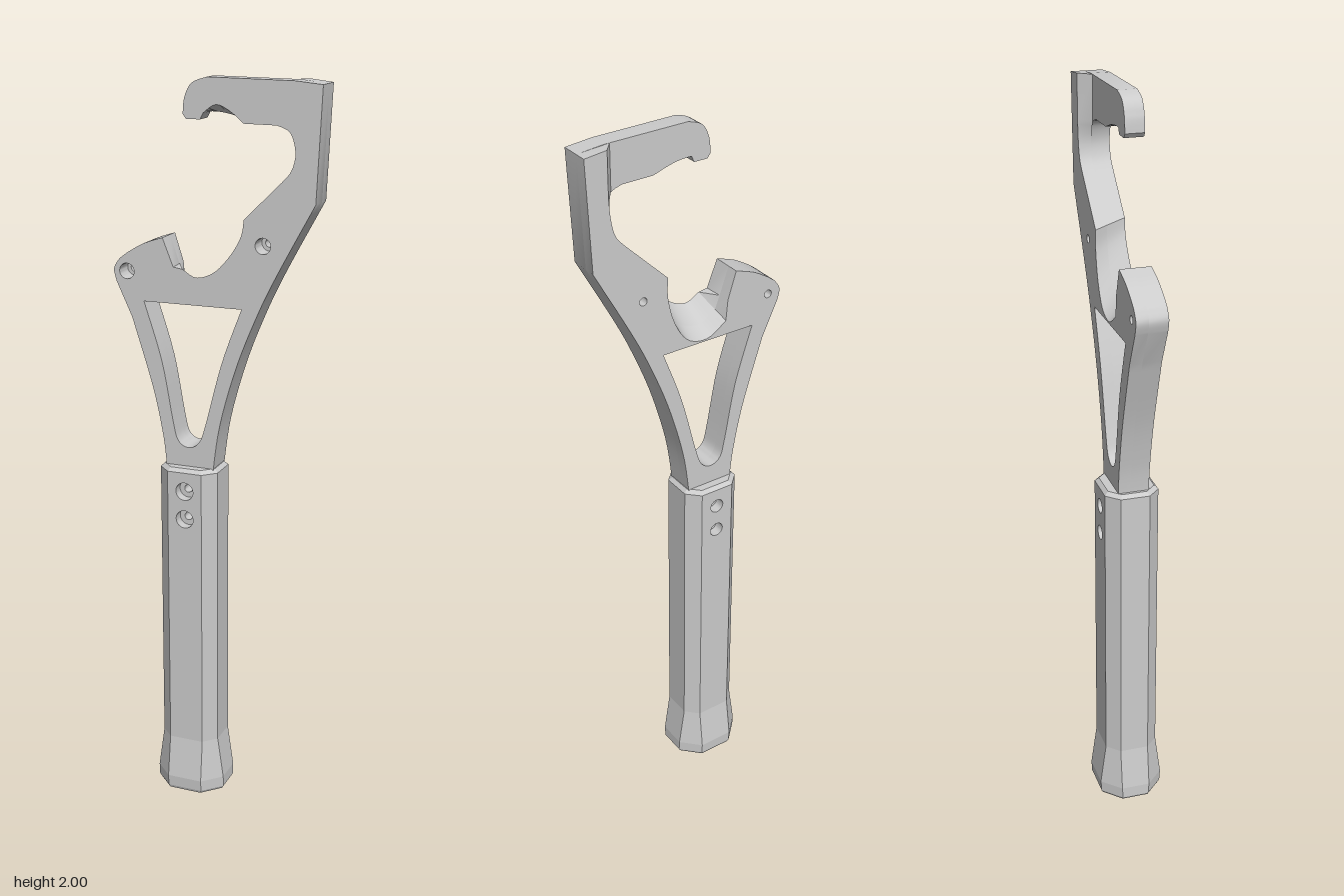
import * as THREE from 'three';
import { toCreasedNormals } from 'three/addons/utils/BufferGeometryUtils.js';

const grey = new THREE.MeshStandardMaterial({ color: 0xcccccc });
const greyDouble = new THREE.MeshStandardMaterial({ color: 0xcccccc, side: THREE.DoubleSide });

const P = (list) => list.map(([x, y]) => new THREE.Vector2(x, y));
const curve = (list, n) => new THREE.SplineCurve(P(list)).getPoints(n);
const mix = (a, b, t) => a.map((p, i) => p.clone().lerp(b[i], t));
const circle = (x, y, r, n = 24) => Array.from({ length: n }, (_, i) => {
  const a = -i / n * Math.PI * 2; // clockwise, as a hole
  return new THREE.Vector2(x + r * Math.cos(a), y + r * Math.sin(a));
});

function toGeometry(positions) {
  const g = new THREE.BufferGeometry();
  g.setAttribute('position', new THREE.Float32BufferAttribute(positions, 3));
  return g;
}

function addMesh(group, name, geometry, material = grey) {
  const mesh = new THREE.Mesh(geometry, material);
  mesh.name = name;
  group.add(mesh);
  return mesh;
}

// Solid between a front and a back outline with matching points, plus straight holes
function slab(front, back, holes, zf, zb) {
  const pos = [];
  const put = (v, z) => pos.push(v.x, v.y, z);
  const cap = (outline, z, flip) => {
    const all = [...outline, ...holes.flat()];
    for (const [a, b, c] of THREE.ShapeUtils.triangulateShape(outline, holes)) {
      for (const i of flip ? [a, c, b] : [a, b, c]) put(all[i], z);
    }
  };
  const wall = (f, b) => f.forEach((p, i) => {
    const j = (i + 1) % f.length;
    put(p, zf); put(b[i], zb); put(b[j], zb);
    put(p, zf); put(b[j], zb); put(f[j], zf);
  });
  cap(front, zf, false);
  cap(back, zb, true);
  wall(front, back);
  holes.forEach((h) => wall(h, h));
  return toCreasedNormals(toGeometry(pos), 0.5);
}

function buildHead(group) {
  const zFront = 0.042, zMid = -0.009, zBack = -0.042;

  // Right edge, from the neck up to the top corner
  const rightEdge = [
    ...P([[-0.14, 0.965]]),
    ...curve([[-0.005, 0.965], [0.015, 1.1], [0.06, 1.26], [0.115, 1.4], [0.17, 1.515], [0.27, 1.7]], 24),
    ...P([[0.283, 1.99]]),
  ];
  // Left jaw and left edge, back down to the neck
  const leftEdge = [
    ...curve([[-0.145, 1.592], [-0.2, 1.573], [-0.248, 1.545]], 6),
    ...curve([[-0.268, 1.53], [-0.285, 1.502], [-0.278, 1.468]], 8),
    ...curve([[-0.235, 1.375], [-0.178, 1.19], [-0.15, 1.06], [-0.141, 0.99]], 16),
  ];
  // Throat, which slants down towards the back
  const throatFront = [
    ...curve([[0.08, 1.652], [0.073, 1.61], [0.045, 1.56], [0, 1.512], [-0.05, 1.494], [-0.088, 1.513]], 24),
    ...P([[-0.115, 1.517]]),
  ];
  const throatBack = [
    ...curve([[0.06, 1.632], [0.06, 1.575], [0.04, 1.5], [0, 1.44], [-0.06, 1.426], [-0.116, 1.46]], 24),
    ...P([[-0.121, 1.517]]),
  ];
  throatBack.forEach((p) => { p.y = Math.max(p.y, 1.425); });
  const throatMid = mix(throatFront, throatBack, 0.6);

  // Hook arm, only on the front part of the thickness
  const hookTop = [
    ...P([[0.21, 1.997]]),
    ...curve([[-0.02, 2], [-0.06, 1.985], [-0.08, 1.95], [-0.085, 1.908]], 12),
    ...P([[-0.076, 1.896], [-0.038, 1.896]]),
  ];
  const hookUnderFront = curve([[-0.03, 1.912], [0.005, 1.934], [0.045, 1.917], [0.078, 1.89]], 12);
  const hookUnderMid = curve([[-0.03, 1.912], [0, 1.911], [0.035, 1.904], [0.078, 1.89]], 12);
  const notch = curve([[0.165, 1.889], [0.2, 1.873], [0.215, 1.825], [0.205, 1.78], [0.18, 1.75]], 16);

  // Column wall of the back part, flaring into the recess
  const columnMid = [...P([[0.195, 1.997]]), ...curve([[0.195, 1.88], [0.213, 1.825], [0.205, 1.78], [0.18, 1.75]], 10)];
  const columnBack = [...P([[0.222, 1.997]]), ...curve([[0.222, 1.88], [0.217, 1.825], [0.205, 1.78], [0.18, 1.75]], 10)];

  // Window between the two struts
  const windowHole = [
    ...P([[-0.2, 1.42]]),
    ...curve([[0.075, 1.42], [0.02, 1.27], [-0.025, 1.1], [-0.045, 1.045], [-0.075, 1.028],
      [-0.105, 1.045], [-0.12, 1.1], [-0.15, 1.26], [-0.195, 1.405]], 40),
  ];
  const pins = (r) => [circle(-0.248, 1.497, r), circle(0.132, 1.588, r)];

  addMesh(group, 'headFront', slab(
    [...rightEdge, ...hookTop, ...hookUnderFront, ...notch, ...throatFront, ...leftEdge],
    [...rightEdge, ...hookTop, ...hookUnderMid, ...notch, ...throatMid, ...leftEdge],
    [windowHole, ...pins(0.021)], zFront, zMid));
  addMesh(group, 'headBack', slab(
    [...rightEdge, ...columnMid, ...throatMid, ...leftEdge],
    [...rightEdge, ...columnBack, ...throatBack, ...leftEdge],
    [windowHole, ...pins(0.011)], zMid, zBack));
}

function buildHandle(group) {
  const handle = new THREE.Group();
  handle.name = 'handle';
  handle.position.x = -0.075;
  group.add(handle);

  // Eight-sided cross-sections: height, half width, half depth, corner cut
  const sections = [
    [0, 0.095, 0.085, 0.048], [0.008, 0.1, 0.088, 0.05], [0.04, 0.1, 0.09, 0.05],
    [0.16, 0.083, 0.074, 0.034], [0.965, 0.083, 0.074, 0.034], [0.975, 0.073, 0.064, 0.03],
  ];
  const rings = sections.map(([y, hx, hz, c]) => {
    const fx = hx - c, fz = hz - c;
    return [[fx, hz], [hx, fz], [hx, -fz], [fx, -hz], [-fx, -hz], [-hx, -fz], [-hx, fz], [-fx, hz]]
      .map(([x, z]) => [x, y, z]);
  });
  const pos = [];
  const tri = (...corners) => corners.forEach((p) => pos.push(...p));
  for (let s = 0; s < rings.length - 1; s++) {
    for (let i = 0; i < 8; i++) {
      if (s === 3 && (i === 3 || i === 7)) continue; // drilled panels go here
      const j = (i + 1) % 8, a = rings[s], b = rings[s + 1];
      tri(a[i], a[j], b[j]);
      tri(a[i], b[j], b[i]);
    }
  }
  const bottom = rings[0], top = rings[rings.length - 1];
  for (let i = 1; i < 7; i++) {
    tri(bottom[0], bottom[i + 1], bottom[i]);
    tri(top[0], top[i], top[i + 1]);
  }
  const shell = toGeometry(pos);
  shell.computeVertexNormals();
  addMesh(handle, 'grip', shell);

  // Front and back panels with screw holes
  const holeHeights = [0.832, 0.912];
  const panel = (r) => {
    const shape = new THREE.Shape(P([[-0.049, 0.16], [0.049, 0.16], [0.049, 0.965], [-0.049, 0.965]]));
    holeHeights.forEach((y) => shape.holes.push(new THREE.Path(circle(0, y, r))));
    return new THREE.ShapeGeometry(shape);
  };
  addMesh(handle, 'frontPanel', panel(0.025)).position.z = 0.074;
  const backPanel = addMesh(handle, 'backPanel', panel(0.02));
  backPanel.rotation.y = Math.PI;
  backPanel.position.z = -0.074;

  // Stepped bores running right through
  const profile = P([[0.02, -0.074], [0.02, -0.045], [0.011, -0.045], [0.011, 0.045], [0.025, 0.045], [0.025, 0.074]]);
  const bore = toCreasedNormals(new THREE.LatheGeometry(profile, 24).rotateX(Math.PI / 2), 0.5);
  holeHeights.forEach((y) => { addMesh(handle, 'screwBore', bore, greyDouble).position.y = y; });
}

export function createModel() {
  const group = new THREE.Group();
  group.name = 'hookWrench';
  buildHead(group);
  buildHandle(group);
  return group;
}
